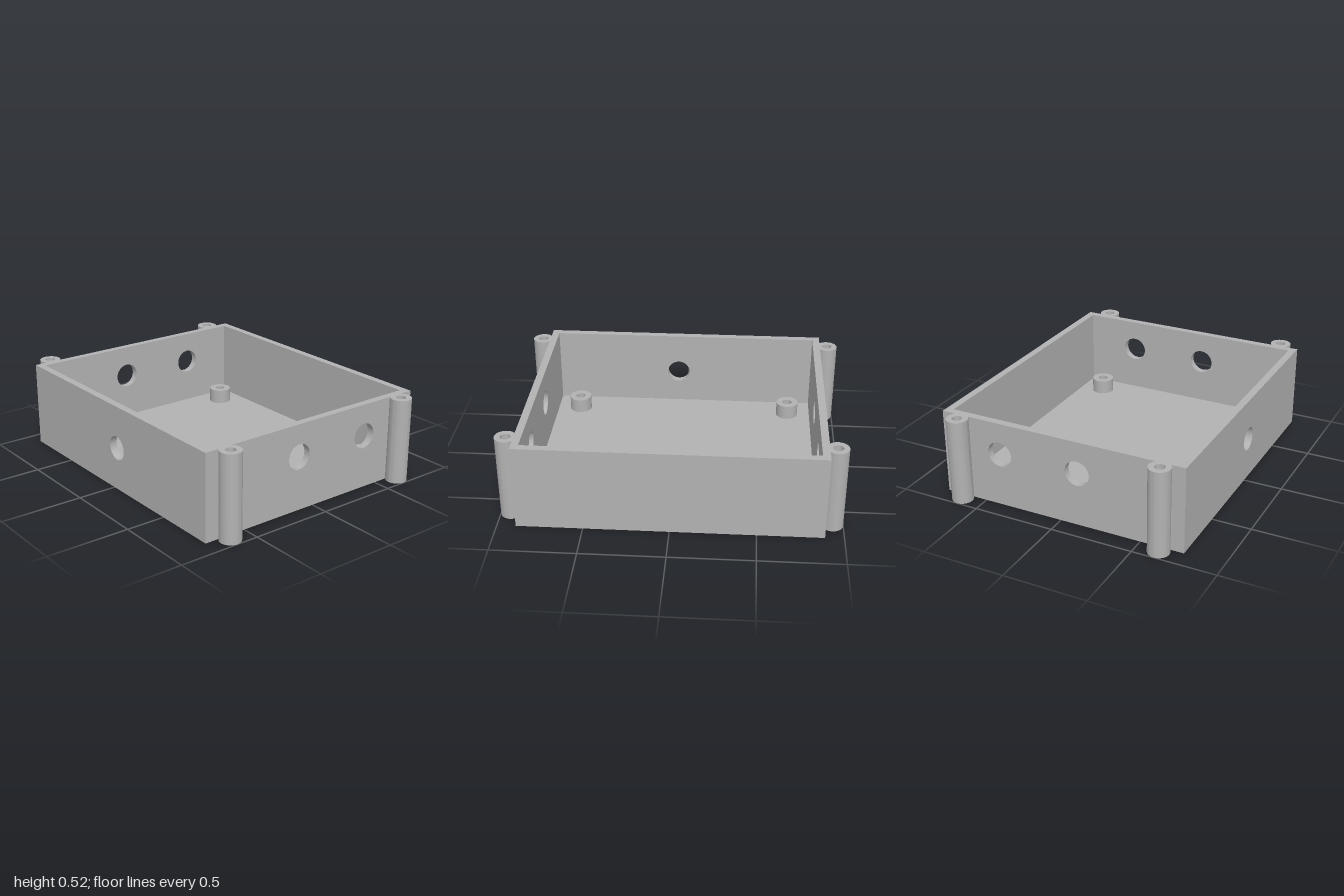
import * as THREE from 'three';
import { toCreasedNormals } from 'three/addons/utils/BufferGeometryUtils.js';

const W = 0.89, D = 0.763, H = 0.523, T = 0.045; // half width, half depth, height, wall

export function createModel() {
  const group = new THREE.Group();
  const grey = new THREE.MeshStandardMaterial({ color: 0xb2b2b2 });
  grey.name = 'plain grey';

  const add = (name, geometry, x, y, z) => {
    const mesh = new THREE.Mesh(geometry, grey);
    mesh.name = name;
    mesh.position.set(x, y, z);
    group.add(mesh);
    return mesh;
  };

  // Upright wall panel with round holes given as [u, y, radius]
  const wall = (half, holes = []) => {
    const s = new THREE.Shape();
    s.moveTo(-half, 0).lineTo(half, 0).lineTo(half, H - T).lineTo(-half, H - T).closePath();
    for (const [u, y, r] of holes) {
      s.holes.push(new THREE.Path().absarc(u, y - T, r, 0, Math.PI * 2, true));
    }
    const g = new THREE.ExtrudeGeometry(s, { depth: T, bevelEnabled: false, curveSegments: 40 });
    return toCreasedNormals(g, 0.6);
  };

  // Cylinder with a blind bore in its top
  const boredPost = (r, bore, height, boreFloor) => {
    const profile = [[0, 0], [r, 0], [r, height], [bore, height], [bore, boreFloor], [0, boreFloor]];
    const g = new THREE.LatheGeometry(profile.map(([x, y]) => new THREE.Vector2(x, y)), 40);
    return toCreasedNormals(g, 0.6);
  };

  // Tray: floor, front with one cable hole, plain back
  add('floor', new THREE.BoxGeometry(2 * W, T, 2 * D), 0, T / 2, 0);
  add('frontWall', wall(W, [[0.04, 0.263, 0.072]]), 0, T, D - T);
  add('backWall', wall(W), 0, T, -D);

  // Side walls with two cable holes each; panel u axis runs along -z
  const sideHoles = [[-0.11, 0.327, 0.076], [0.39, 0.327, 0.076]];
  for (const [name, x] of [['leftWall', W - T], ['rightWall', -W]]) {
    add(name, wall(D - T, sideHoles), x, T, 0).rotation.y = Math.PI / 2;
  }

  // Outer screw posts and inner standoffs at the four corners
  const postGeometry = boredPost(0.064, 0.03, H, T);
  const standoffGeometry = boredPost(0.07, 0.03, 0.09, 0.002);
  for (const sx of [-1, 1]) {
    for (const sz of [-1, 1]) {
      add('screwPost', postGeometry, sx * 0.936, 0, sz * 0.633);
      add('standoff', standoffGeometry, sx * 0.695, T, sz * 0.565);
    }
  }
  return group;
}
